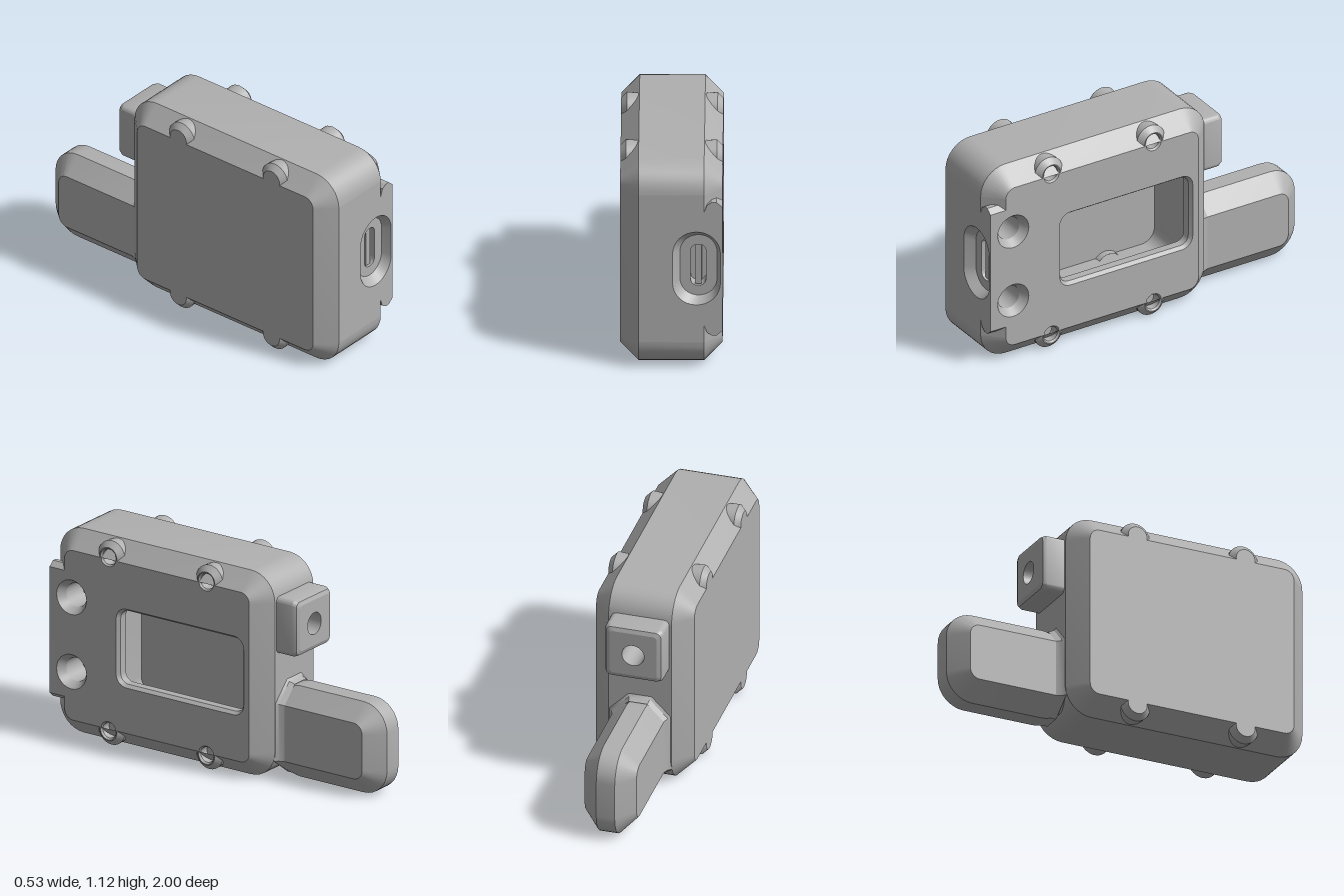
import * as THREE from 'three';
import { toCreasedNormals } from 'three/addons/utils/BufferGeometryUtils.js';

const N = 8; // segments per rounded corner
const H = 1.125;
const SIDE = Math.PI / 2; // turns local (u, v, w) into (x = w, y = v, z = -u)

// Rounded rectangle, counter-clockwise; straight edges follow each corner
function rr(u0, u1, v0, v1, r) {
  const pts = [];
  const corners = [[u1 - r, v1 - r], [u0 + r, v1 - r], [u0 + r, v0 + r], [u1 - r, v0 + r]];
  corners.forEach(([cu, cv], k) => {
    for (let i = 0; i <= N; i++) {
      const a = (k + i / N) * Math.PI / 2;
      pts.push([cu + r * Math.cos(a), cv + r * Math.sin(a)]);
    }
  });
  return pts;
}
const circle = (u, v, r) => rr(u - r, u + r, v - r, v + r, r);

function quads(list) {
  const pos = [];
  for (const [a, b, c, d] of list) pos.push(...a, ...b, ...c, ...a, ...c, ...d);
  const g = new THREE.BufferGeometry();
  g.setAttribute('position', new THREE.Float32BufferAttribute(pos, 3));
  return toCreasedNormals(g, 0.5);
}

// Skin between outlines at depths w: rising w faces out, falling w faces in
function loft(rings, skip = () => false) {
  const list = [];
  for (let k = 0; k + 1 < rings.length; k++) {
    const [A, wa] = rings[k], [B, wb] = rings[k + 1];
    for (let i = 0; i < A.length; i++) {
      if (skip(k, i)) continue;
      const j = (i + 1) % A.length;
      list.push([[...A[i], wa], [...A[j], wa], [...B[j], wb], [...B[i], wb]]);
    }
  }
  return quads(list);
}

const toPath = (pts, P = THREE.Path) => new P(pts.map(p => new THREE.Vector2(...p)));
function plate(outline, w, holes = []) {
  const s = outline instanceof THREE.Shape ? outline : toPath(outline, THREE.Shape);
  s.holes.push(...holes.map(h => toPath(h)));
  return new THREE.ShapeGeometry(s, N).translate(0, 0, w);
}

export function createModel() {
  const group = new THREE.Group();
  const grey = new THREE.MeshStandardMaterial({ color: 0xb0b0b0, side: THREE.DoubleSide });
  grey.name = 'plain grey';
  const add = (name, geo, turn = 0) => {
    const m = new THREE.Mesh(turn ? geo.rotateY(turn) : geo, grey);
    m.name = name;
    group.add(m);
  };

  // Chamfered case shell, open where the front and back walls go
  const full = rr(-1, 0.37, 0, H, 0.15);
  const inset = rr(-0.905, 0.275, 0.095, H - 0.095, 0.055);
  const FRONT = 2 * N + 1, BACK = 4 * N + 3;
  add('caseShell', loft([[inset, -0.265], [full, -0.17], [full, 0.17], [inset, 0.265]],
    (k, i) => (i === FRONT && k > 0) || (i === BACK && k === 1)), SIDE);
  add('leftFace', plate(rr(-0.275, 0.905, 0.095, H - 0.095, 0.055), 0.265), -SIDE);

  // Right face with a front tab, screw notches, screw holes and window
  const v0 = 0.095, v1 = H - v0, r = 0.055, n = 0.045, P = Math.PI;
  const face = new THREE.Shape();
  face.moveTo(0.275, v0 + r);
  face.absarc(0.275 - r, v1 - r, r, 0, P / 2, false);
  for (const u of [0, -0.625]) face.absarc(u, v1, n, 0, -P, true);
  face.absarc(-0.905 + r, v1 - r, r, P / 2, P, false);
  for (const [u, v] of [[-0.905, 0.91], [-1, 0.91], [-1, H - 0.91], [-0.905, H - 0.91]]) face.lineTo(u, v);
  face.absarc(-0.905 + r, v0 + r, r, P, 1.5 * P, false);
  for (const u of [-0.625, 0]) face.absarc(u, v0, n, P, 0, true);
  face.absarc(0.275 - r, v0 + r, r, -P / 2, 0, false);
  const windowOuter = rr(-0.575, 0.24, 0.345, 0.78, 0.065);
  const windowInner = rr(-0.56, 0.225, 0.36, 0.765, 0.05);
  const screws = [[-0.86, 0.77], [-0.86, 0.36]];
  add('rightFace', plate(face, 0.265, [windowOuter, ...screws.map(s => circle(...s, 0.095))]), SIDE);
  add('windowRim', loft([[windowOuter, 0.265], [windowInner, 0.245], [windowInner, 0.2]]), SIDE);
  for (const s of screws) {
    const hole = circle(...s, 0.065);
    add('countersink', loft([[circle(...s, 0.095), 0.265], [hole, 0.22], [hole, 0.08]]), SIDE);
    add('countersinkFloor', plate(hole, 0.08), SIDE);
  }

  // Hollow inside
  const cavity = rr(-0.75, 0.3, 0.14, 0.985, 0.08);
  const bore = circle(0, 0.84, 0.06);
  add('cavityWall', loft([[cavity, 0.2], [cavity, -0.2]], (k, i) => i === BACK), SIDE);
  add('cavityFloor', plate(cavity, -0.2), SIDE);
  add('cavityCeiling', plate(cavity, 0.2, [windowInner]), SIDE);
  add('cavityBack', plate([[-0.2, 0.22], [0.2, 0.22], [0.2, 0.905], [-0.2, 0.905]], -0.3, [bore]));

  // Front wall with its corner tab and port opening
  const tabEdge = [[0.17, 0.88], [0.185, 0.92], [0.21, 0.936], [0.235, 0.936], [0.265, 0.91]];
  const low = tabEdge.map(([x, y]) => [x, H - y]);
  const port = rr(0.007, 0.255, 0.36, 0.77, 0.123);
  const portFloor = rr(0.045, 0.237, 0.395, 0.735, 0.095);
  const slot = rr(0.1, 0.18, 0.45, 0.68, 0.035);
  add('frontWall', plate([[-0.17, 0.15], [0.17, 0.15], ...low, ...[...tabEdge].reverse(),
    [0.17, 0.975], [-0.17, 0.975]], 1, [port]));
  add('portFunnel', loft([[port, 1], [portFloor, 0.95]]));
  add('portFloor', plate(portFloor, 0.95, [slot]));
  add('portSlot', loft([[slot, 0.95], [slot, 0.87]]));
  add('portSlotFloor', plate(slot, 0.87));
  add('portTongue', new THREE.BoxGeometry(0.035, 0.22, 0.07).translate(0.14, 0.565, 0.905));

  // Tab ends and the short chamfers beyond them
  for (const top of [true, false]) {
    const Y = y => (top ? y : H - y);
    const list = [[[0.17, Y(0.88), 1], [0.265, Y(0.88), 0.905], [0.265, Y(0.975), 0.905], [0.17, Y(0.975), 1]]];
    for (let i = 0; i + 1 < tabEdge.length; i++) {
      const [x, y] = tabEdge[i], [X, y2] = tabEdge[i + 1];
      list.push([[x, Y(y), 1], [X, Y(y2), 1], [X, Y(y2), 1.17 - X], [x, Y(y), 1.17 - x]]);
    }
    add('tabEnd', quads(top ? list : list.map(q => [...q].reverse())));
  }

  // Screw bosses along the top and bottom edges, bored on the right only
  const closed = [[0.08, 0.165], [0.085, 0.235], [0.055, 0.265], [0, 0.265]];
  const bored = [...closed.slice(0, 3), [0.05, 0.265], [0.042, 0.255], [0.042, 0.2], [0, 0.2]];
  for (const side of [1, -1]) for (const z of [0, 0.625]) for (const y of [v0, v1]) {
    const pts = (side > 0 ? bored : closed).map(p => new THREE.Vector2(...p));
    const g = new THREE.LatheGeometry(pts, 28).rotateZ(-side * SIDE).translate(0, y + Math.sign(y - 0.5) * 0.01, z);
    add('screwBoss', toCreasedNormals(g, 0.5));
  }

  // Back wall and the bored lug standing on it
  add('backWall', plate([[-0.17, 0.15], [0.17, 0.15], [0.17, 0.975], [-0.17, 0.975]], 0.37, [bore]), P);
  const lug = rr(-0.157, 0.157, 0.69, 1, 0.03);
  const lugEnd = rr(-0.127, 0.127, 0.72, 0.97, 0.02);
  const lugMid = rr(-0.148, 0.148, 0.699, 0.991, 0.03);
  add('lug', loft([[lug, 0.36], [lug, 0.47], [lugMid, 0.491], [lugEnd, 0.5]]), P);
  add('lugEnd', plate(lugEnd, 0.5, [bore]), P);
  add('lugBore', loft([[bore, 0.5], [bore, 0.3]]), P);

  // Chamfered tail with a small flared collar
  const tail = rr(0.3, 1, 0, 0.5, 0.15), tailIn = rr(0.3, 0.905, 0.1, 0.408, 0.055);
  add('tail', loft([[tailIn, -0.14], [tail, -0.05], [tail, 0.05], [tailIn, 0.14]]), SIDE);
  add('tailRightFace', plate(tailIn, 0.14), SIDE);
  add('tailLeftFace', plate(tailIn.map(([u, v]) => [-u, v]).reverse(), 0.14), -SIDE);
  const section = d => [[0.14 + d, 0.1], [0.14 + d, 0.408 + d / 2], [0.05 + d / 2, 0.5 + d],
    [-0.05 - d / 2, 0.5 + d], [-0.14 - d, 0.408 + d / 2], [-0.14 - d, 0.1], [-0.05, 0.01], [0.05, 0.01]];
  add('tailCollar', loft([[section(0.03), 0.365], [section(0.012), 0.38], [section(0), 0.41]]), P);

  return group;
}
